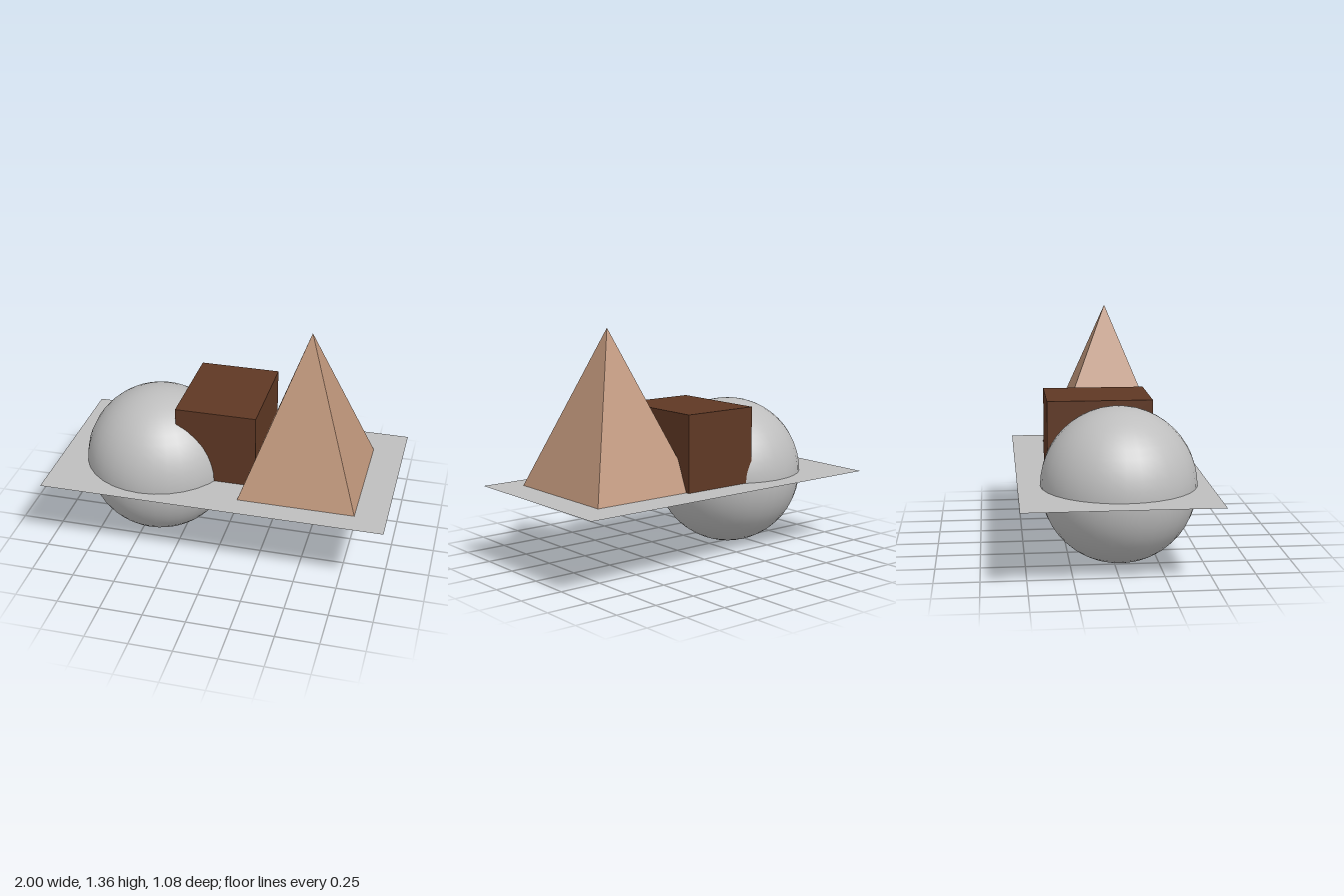
import * as THREE from 'three';

const material = (name, color, extra = {}) => {
  const m = new THREE.MeshStandardMaterial({ color, ...extra });
  m.name = name;
  return m;
};

export function createModel() {
  const group = new THREE.Group();
  const grey = material('light grey', 0xbebebe);
  const sheetGrey = material('sheet grey', 0xbebebe, { side: THREE.DoubleSide });
  const brown = material('dark brown', 0x5f3824);
  const tan = material('tan', 0xbd9479, { flatShading: true });

  const add = (name, geometry, mat, x, y, z) => {
    const mesh = new THREE.Mesh(geometry, mat);
    mesh.name = name;
    mesh.position.set(x, y, z);
    group.add(mesh);
  };

  const ground = 0.445; // height of the flat sheet

  // Thin sheet, just below the bases that stand on it
  add('sheet', new THREE.PlaneGeometry(2, 1.076).rotateX(-Math.PI / 2), sheetGrey, 0, ground - 0.001, 0);

  // Ball, half sunk through the sheet
  add('ball', new THREE.SphereGeometry(0.441, 32, 24), grey, -0.42, 0.443, 0.03);

  // Block
  add('block', new THREE.BoxGeometry(0.472, 0.446, 0.602), brown, -0.026, ground + 0.223, -0.06);

  // Four-sided pyramid, made from a unit cone turned square to the axes
  const pyramid = new THREE.ConeGeometry(Math.SQRT1_2, 1, 4)
    .rotateY(Math.PI / 4)
    .scale(0.674, 0.917, 0.742);
  add('pyramid', pyramid, tan, 0.48, ground + 0.4585, 0.032);

  return group;
}
